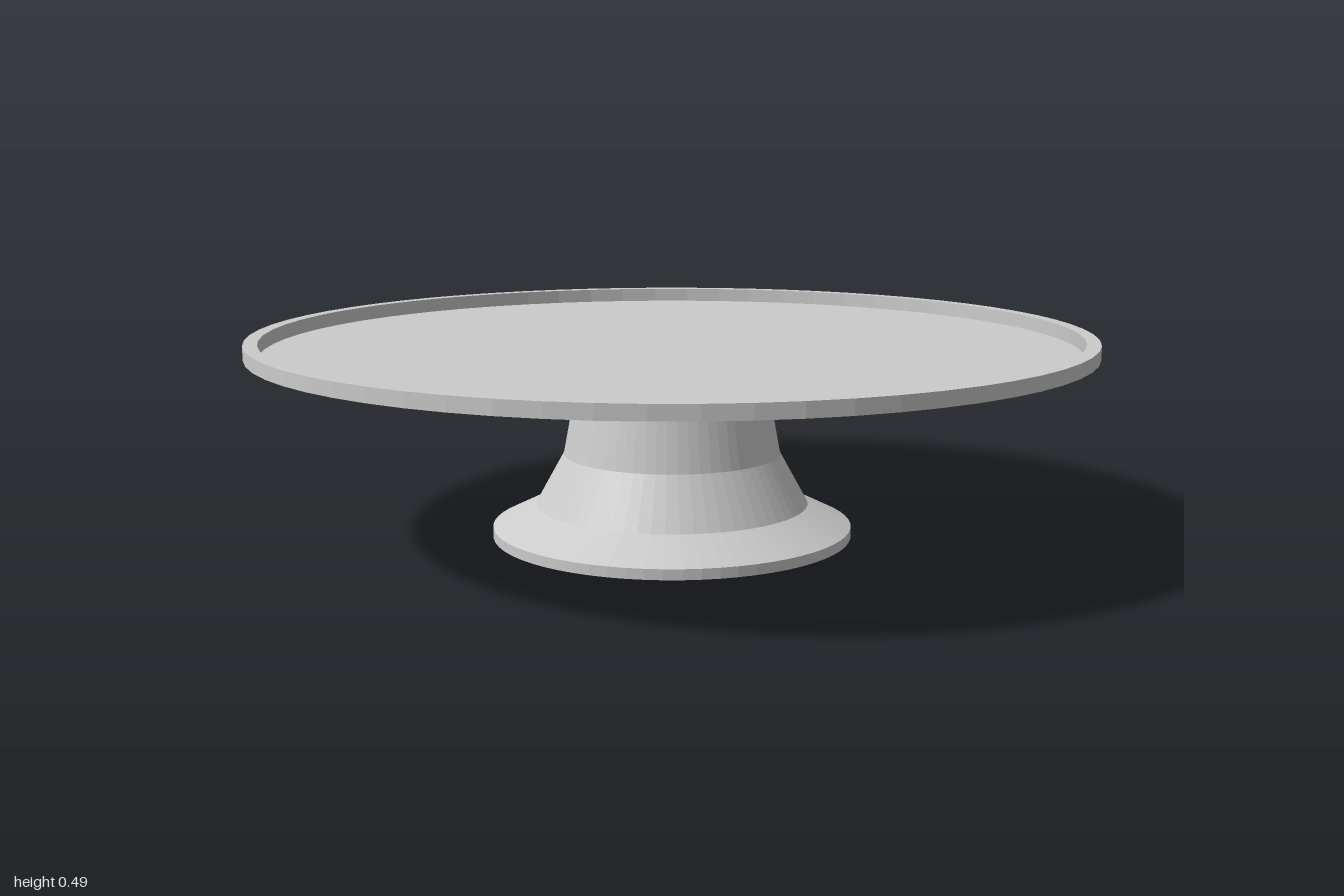
import * as THREE from 'three';

const SEGMENTS = 64;

// Turned part from a profile of [radius, height] points
function turned(name, profile) {
  const points = profile.map(([r, y]) => new THREE.Vector2(r, y));
  const material = new THREE.MeshStandardMaterial({ color: 0xcccccc, flatShading: true });
  const mesh = new THREE.Mesh(new THREE.LatheGeometry(points, SEGMENTS), material);
  mesh.name = name;
  return mesh;
}

export function createModel() {
  const group = new THREE.Group();
  group.name = 'cakeStand';

  // Flared foot, hollow underneath: ceiling, inner wall, bottom ring, outer wall
  group.add(turned('foot', [
    [0, 0.315], [0.215, 0.315], [0.235, 0.19], [0.315, 0.055], [0.405, 0],
    [0.435, 0], [0.435, 0.025], [0.33, 0.077], [0.262, 0.2], [0.238, 0.328],
  ]));

  // Shallow plate: two-step underside, raised rim, flat recessed top
  group.add(turned('plate', [
    [0.238, 0.328], [0.43, 0.39], [1, 0.46], [1, 0.493],
    [0.967, 0.493], [0.967, 0.458], [0, 0.458],
  ]));

  return group;
}
